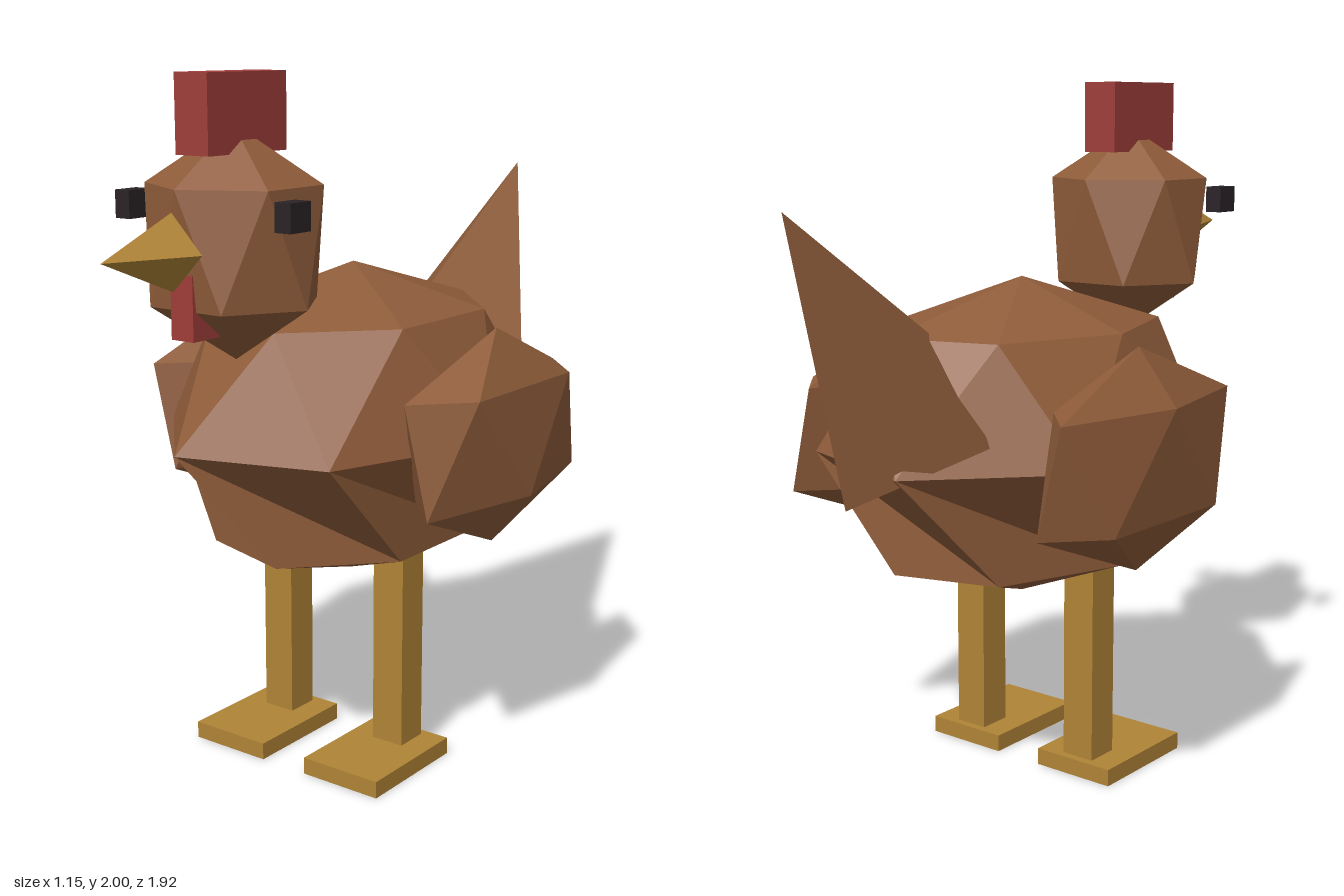
import * as THREE from 'three';

const mat = (name, color, extra = {}) => new THREE.MeshStandardMaterial({ name, color, ...extra });

// Faceted spheroid whose odd rows are turned by half a step
function facetedBall(rx, ry, rz, rows, n) {
  const point = (row, k) => {
    const a = ((k - (row % 2) / 2) * Math.PI * 2) / n;
    const t = (row * Math.PI) / rows;
    return [rx * Math.sin(t) * Math.cos(a), ry * Math.cos(t), rz * Math.sin(t) * Math.sin(a)];
  };
  const pos = [];
  for (let r = 0; r < rows; r++) {
    for (let k = 0; k < n; k++) {
      if (r > 0) pos.push(...point(r, k), ...point(r, k + 1), ...point(r + 1, k));
      if (r < rows - 1) pos.push(...point(r, k + 1), ...point(r + 1, k + 1), ...point(r + 1, k));
    }
  }
  const g = new THREE.BufferGeometry();
  g.setAttribute('position', new THREE.Float32BufferAttribute(pos, 3));
  g.computeVertexNormals();
  return g;
}

// Four-sided flat-faced cone
function pyramid(radius, height) {
  const g = new THREE.ConeGeometry(radius, height, 4).toNonIndexed();
  g.computeVertexNormals();
  return g;
}

// Box without its bottom face
function openBox(w, h, d) {
  const g = new THREE.BoxGeometry(w, h, d);
  const index = Array.from(g.index.array);
  index.splice(18, 6);
  g.setIndex(index);
  g.clearGroups();
  return g;
}

export function createModel() {
  const model = new THREE.Group();
  model.name = 'hen';
  const brown = mat('brown feathers', 0x8f5c3a);
  const red = mat('red comb', 0xa03e3a);
  const yellow = mat('yellow horn', 0xb08436, { side: THREE.DoubleSide });
  const black = mat('dark eye', 0x2a2327);

  const add = (name, geometry, material, x, y, z) => {
    const mesh = new THREE.Mesh(geometry, material);
    mesh.name = name;
    mesh.position.set(x, y, z);
    model.add(mesh);
    return mesh;
  };

  // Body and head
  add('body', facetedBall(0.5, 0.465, 0.67, 4, 7), brown, 0, 0.99, -0.05);
  add('head', facetedBall(0.28, 0.31, 0.26, 3, 6), brown, 0, 1.56, 0.473);

  // Tail leaning back, its base sunk in the body
  add('tail', pyramid(0.287, 0.743), brown, 0, 1.375, -0.7475).rotation.x = -0.608;

  // Beak, comb and wattle
  add('beak', pyramid(0.1, 0.25), yellow, 0, 1.56, 0.835).rotation.x = Math.PI / 2;
  add('comb', new THREE.BoxGeometry(0.11, 0.205, 0.31), red, 0, 1.8975, 0.475);
  add('wattle', new THREE.BoxGeometry(0.075, 0.17, 0.1), red, 0, 1.415, 0.63);

  // Paired parts
  for (const [side, s] of [['left', 1], ['right', -1]]) {
    add(side + 'Wing', facetedBall(0.144, 0.31, 0.474, 3, 5), brown, s * 0.45, 0.99, -0.11);
    add(side + 'Eye', new THREE.BoxGeometry(0.05, 0.075, 0.08), black, s * 0.272, 1.655, 0.567);
    add(side + 'Leg', openBox(0.103, 0.6, 0.103), yellow, s * 0.206, 0.325, 0.005);
    add(side + 'Foot', openBox(0.258, 0.05, 0.362), yellow, s * 0.206, 0.025, 0.11);
  }
  return model;
}
